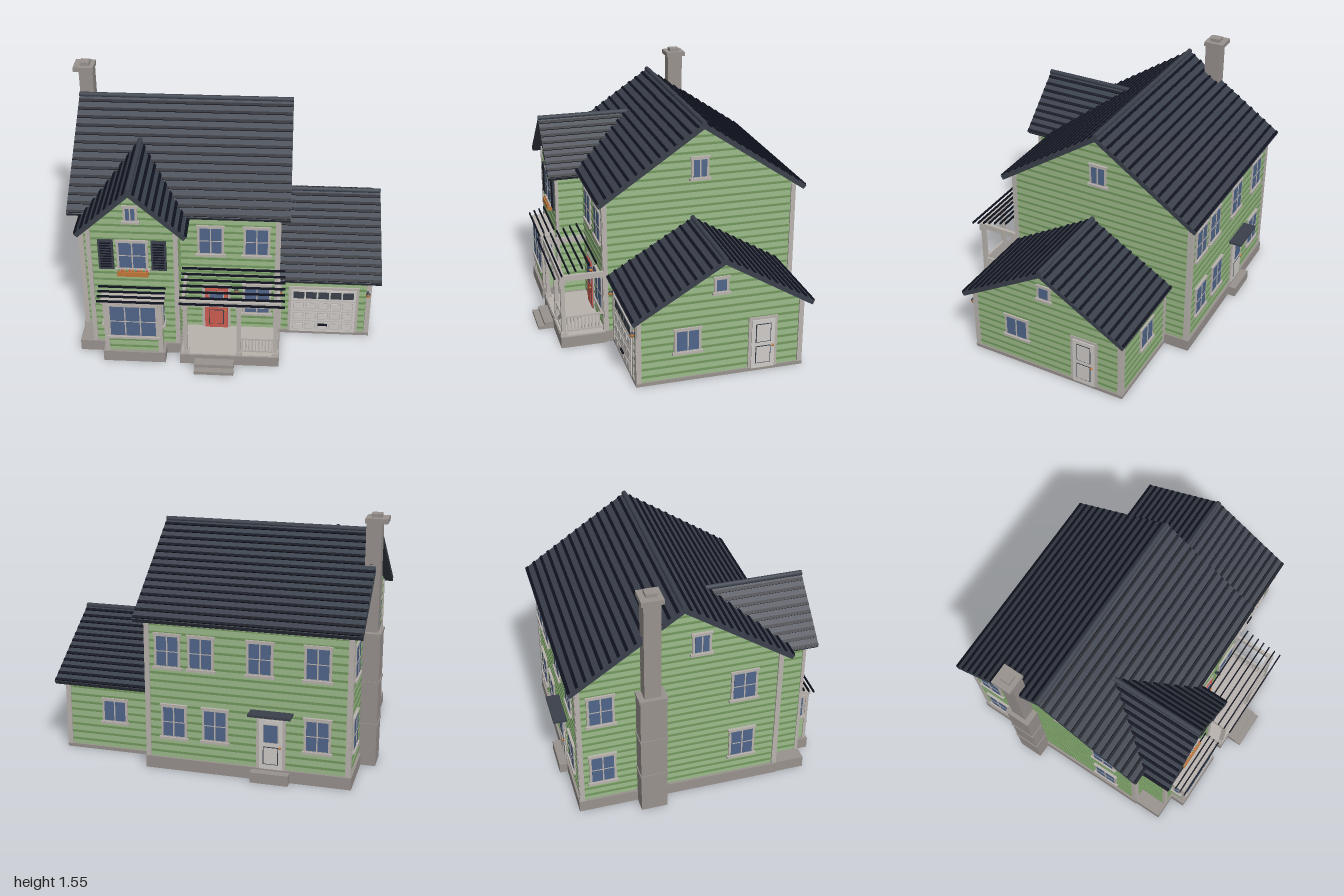
import * as THREE from 'three';

const mat = (name, color) => {
  const m = new THREE.MeshStandardMaterial({ color });
  m.name = name;
  return m;
};
const siding = mat('green siding', 0x9cba8a);
const lap = mat('siding shadow green', 0x73985f);
const trim = mat('trim grey', 0xb9b3ae);
const stone = mat('stone grey', 0x98928e);
const white = mat('door white', 0xcfcbc8);
const glass = mat('glass blue', 0x50668a);
const red = mat('door red', 0xcc5c50);
const copper = mat('copper orange', 0xbf7838);
const slate = mat('roof slate', 0x3a404b);
const dark = mat('shingle edge', 0x10131f);

function add(parent, name, geo, material, x = 0, y = 0, z = 0) {
  const m = new THREE.Mesh(geo, material);
  m.name = name;
  m.position.set(x, y, z);
  parent.add(m);
  return m;
}
// box given by its limits on each axis
const span = (p, name, m, x0, x1, y0, y1, z0, z1) =>
  add(p, name, new THREE.BoxGeometry(x1 - x0, y1 - y0, z1 - z0), m, (x0 + x1) / 2, (y0 + y1) / 2, (z0 + z1) / 2);

// group whose local z points out of a wall
function face(parent, name, x, z, turn) {
  const g = new THREE.Group();
  g.name = name;
  g.position.set(x, 0, z);
  g.rotation.y = turn * Math.PI / 2;
  parent.add(g);
  return g;
}

// pentagonal gabled body, gable facing local z
function gabledBody(p, name, c, half, eave, peak, z0, z1) {
  const s = new THREE.Shape();
  s.moveTo(c - half, 0.02);
  s.lineTo(c + half, 0.02);
  s.lineTo(c + half, eave);
  s.lineTo(c, peak);
  s.lineTo(c - half, eave);
  const geo = new THREE.ExtrudeGeometry(s, { depth: z1 - z0, bevelEnabled: false });
  add(p, name, geo, siding, 0, 0, z0);
}

// thin lap boards on a wall, narrowing above the eave when there is a gable
function boards(f, c, half, y0, eave, peak = eave) {
  for (let y = y0 + 0.03; y < peak - 0.02; y += 0.05) {
    const h = y + 0.014 <= eave ? half : half * (peak - y - 0.014) / (peak - eave);
    if (h > 0.01) span(f, 'lapBoard', lap, c - h, c + h, y, y + 0.014, -0.002, 0.005);
  }
}

function corners(f, c, half, y0, y1) {
  for (const s of [-1, 1])
    add(f, 'cornerTrim', new THREE.BoxGeometry(0.028, y1 - y0, 0.02), trim, c + s * (half - 0.008), (y0 + y1) / 2, 0);
}

// casing, glass, glazing bars and sill
function win(f, u, y, w, h, cols = 2, rows = 2) {
  const g = new THREE.Group();
  g.name = 'window';
  g.position.set(u, y, 0);
  f.add(g);
  const iw = w - 0.03, ih = h - 0.03;
  span(g, 'casing', trim, -w / 2, w / 2, -h / 2, h / 2, -0.002, 0.012);
  span(g, 'pane', glass, -iw / 2, iw / 2, -ih / 2, ih / 2, 0.012, 0.014);
  for (let i = 1; i < cols; i++) add(g, 'bar', new THREE.BoxGeometry(0.008, ih, 0.006), trim, -iw / 2 + iw * i / cols, 0, 0.014);
  for (let i = 1; i < rows; i++) add(g, 'bar', new THREE.BoxGeometry(iw, 0.005, 0.005), trim, 0, -ih / 2 + ih * i / rows, 0.014);
  span(g, 'sill', trim, -w / 2 - 0.01, w / 2 + 0.01, -h / 2 - 0.008, -h / 2 + 0.008, 0, 0.022);
  span(g, 'head', trim, -w / 2 - 0.006, w / 2 + 0.006, h / 2 - 0.006, h / 2 + 0.006, 0, 0.016);
}

function door(f, u, y0, w, h, m, glazed) {
  span(f, 'doorFrame', trim, u - w / 2 - 0.018, u + w / 2 + 0.018, y0, y0 + h + 0.02, -0.002, 0.01);
  span(f, 'door', m, u - w / 2, u + w / 2, y0, y0 + h, 0.01, 0.016);
  for (const [a, b] of [[0.1, 0.46], [0.54, 0.92]]) {
    const pane = glazed && a > 0.5;
    span(f, 'panelGroove', pane ? trim : slate, u - w * 0.33, u + w * 0.33, y0 + h * a, y0 + h * b, 0.016, 0.018);
    span(f, 'panel', pane ? glass : m, u - w * 0.33 + 0.005, u + w * 0.33 - 0.005, y0 + h * a + 0.005, y0 + h * b - 0.005, 0.017, 0.021);
  }
  add(f, 'knob', new THREE.SphereGeometry(0.008, 10, 8), copper, u + w * 0.4, y0 + h * 0.46, 0.024);
}

// two shingled slopes with the ridge along local z
function gableRoof(p, name, c, ridge, run, drop, z0, z1, rows, t = 0.03) {
  const len = Math.hypot(run, drop), depth = z1 - z0, mid = (z0 + z1) / 2;
  for (const s of [-1, 1]) {
    const slope = new THREE.Group();
    slope.name = name;
    slope.position.set(c, ridge, mid);
    slope.rotation.z = -s * Math.atan2(drop, run);
    p.add(slope);
    add(slope, 'roofSlab', new THREE.BoxGeometry(len, t, depth), slate, s * len / 2, -t / 2);
    for (let i = 0; i < rows; i++)
      add(slope, 'shingleEdge', new THREE.BoxGeometry(0.018, 0.009, depth - 0.004), dark, s * len * (i + 0.75) / rows, 0.0025);
  }
  const cap = add(p, 'ridgeCap', new THREE.CylinderGeometry(0.016, 0.016, depth, 10), slate, c, ridge, mid);
  cap.rotation.x = Math.PI / 2;
}

function lamp(p, x, y, z) {
  span(p, 'lampBracket', slate, x - 0.006, x + 0.006, y - 0.015, y + 0.02, z - 0.03, z - 0.015);
  add(p, 'lamp', new THREE.SphereGeometry(0.014, 12, 8), copper, x, y, z);
  add(p, 'lampCap', new THREE.ConeGeometry(0.014, 0.014, 10), slate, x, y + 0.016, z);
}

// open sloping rows of shingle edges
function shingleRows(p, name, x0, x1, y0, y1, z0, z1, n) {
  for (let i = 0; i < n; i++) {
    const k = i / (n - 1), y = y0 + (y1 - y0) * k, z = z0 + (z1 - z0) * k;
    span(p, name, dark, x0, x1, y - 0.0065, y + 0.0065, z - 0.004, z + 0.004);
  }
}

export function createModel() {
  const house = new THREE.Group();
  house.name = 'house';

  // Main body, ridge along x
  const main = face(house, 'mainBody', 0, 0, 1);
  gabledBody(main, 'mainWalls', 0.15, 0.62, 0.952, 1.374, -0.88, 0.35);
  gableRoof(main, 'mainRoof', 0.15, 1.41, 0.675, 0.46, -0.94, 0.415, 14);
  span(house, 'foundation', stone, -0.895, 0.36, 0, 0.075, -0.785, 0.48);
  const front = face(house, 'mainFront', 0, 0.47, 0);
  const back = face(house, 'mainBack', 0, -0.77, 2);
  const right = face(house, 'mainLeftSide', 0.35, 0, 1);
  const left = face(house, 'mainRightSide', -0.88, 0, -1);
  for (const [f, c, half, peak] of [[front, -0.265, 0.615, 0.94], [back, 0.265, 0.615, 0.94], [right, 0.15, 0.62, 1.374], [left, -0.15, 0.62, 1.374]]) {
    boards(f, c, half, 0.075, peak > 1 ? 0.952 : 0.94, peak);
    corners(f, c, half, 0.075, 0.945);
  }
  span(front, 'frieze', trim, -0.88, 0.35, 0.915, 0.945, 0, 0.012);
  span(back, 'frieze', trim, -0.35, 0.88, 0.915, 0.945, 0, 0.012);
  win(front, -0.07, 0.753, 0.165, 0.21);
  win(front, 0.213, 0.753, 0.165, 0.21);
  win(front, 0.22, 0.31, 0.18, 0.23);
  door(front, -0.037, 0.075, 0.145, 0.32, red, true);
  win(right, 0.143, 1.11, 0.115, 0.14, 2, 1);
  win(left, -0.03, 1.11, 0.115, 0.14, 2, 1);
  for (const u of [-0.63, 0.24]) for (const y of [0.31, 0.753]) win(left, u, y, 0.165, 0.21);
  for (const u of [-0.215, -0.01, 0.345, 0.685]) win(back, u, 0.753, 0.16, 0.21);
  for (const u of [-0.18, 0.075, 0.69]) win(back, u, 0.31, 0.16, 0.21);

  // Back door with canopy and step
  door(back, 0.415, 0.075, 0.14, 0.31, white, true);
  span(back, 'canopy', slate, 0.29, 0.545, 0.422, 0.437, 0, 0.085);
  span(back, 'backStep', stone, 0.3, 0.53, 0, 0.065, 0, 0.065);

  // Front gable wing
  gabledBody(house, 'wingWalls', -0.53, 0.27, 0.94, 1.19, 0.4, 0.645);
  gableRoof(house, 'wingRoof', -0.53, 1.235, 0.335, 0.31, 0.1, 0.705, 9);
  span(house, 'wingFoundation', stone, -0.89, -0.25, 0, 0.075, 0.4, 0.66);
  const wing = face(house, 'wingFront', 0, 0.645, 0);
  boards(wing, -0.53, 0.27, 0.075, 0.94, 1.19);
  corners(wing, -0.53, 0.27, 0.075, 0.95);
  for (const [x, turn] of [[-0.8, -1], [-0.26, 1]])
    boards(face(house, 'wingSide', x, 0.557, turn), 0, 0.087, 0.075, 0.93);
  win(wing, -0.53, 1.045, 0.085, 0.11, 2, 1);
  win(wing, -0.53, 0.75, 0.19, 0.21);
  for (const u of [-0.69, -0.37]) {
    span(wing, 'shutter', slate, u - 0.046, u + 0.046, 0.645, 0.86, 0, 0.014);
    for (let i = 0; i < 10; i++) span(wing, 'louvre', dark, u - 0.034, u + 0.034, 0.662 + i * 0.019, 0.67 + i * 0.019, 0.012, 0.017);
  }
  span(wing, 'planter', copper, -0.625, -0.435, 0.607, 0.64, 0, 0.035);
  for (let i = 0; i < 11; i++)
    add(wing, 'flower', new THREE.SphereGeometry(0.009, 8, 6), [lap, red, copper][i % 3], -0.615 + i * 0.017, 0.645, 0.02);

  // Bay window
  span(house, 'bayBase', stone, -0.73, -0.34, 0, 0.075, 0.64, 0.755);
  span(house, 'bayBox', siding, -0.71, -0.36, 0.075, 0.465, 0.64, 0.735);
  const bay = face(house, 'bayFront', 0, 0.735, 0);
  boards(bay, -0.535, 0.175, 0.075, 0.2);
  corners(bay, -0.535, 0.175, 0.075, 0.46);
  win(bay, -0.535, 0.315, 0.31, 0.25, 3, 2);
  for (const [x, turn] of [[-0.71, -1], [-0.36, 1]]) win(face(house, 'baySide', x, 0.69, turn), 0, 0.345, 0.06, 0.17, 1, 2);
  span(house, 'bayCornice', trim, -0.73, -0.34, 0.445, 0.467, 0.64, 0.748);
  shingleRows(house, 'bayShingles', -0.75, -0.335, 0.512, 0.475, 0.66, 0.76, 4);

  // Porch
  span(house, 'porchBase', stone, -0.25, 0.37, 0, 0.07, 0.47, 0.755);
  span(house, 'porchFloor', trim, -0.24, 0.36, 0.07, 0.078, 0.47, 0.75);
  span(house, 'upperStep', stone, -0.155, 0.09, 0, 0.045, 0.75, 0.815);
  span(house, 'lowerStep', stone, -0.155, 0.09, 0, 0.022, 0.75, 0.855);
  span(house, 'porchBeam', trim, -0.24, 0.37, 0.455, 0.492, 0.72, 0.752);
  for (const x of [-0.235, 0.345]) span(house, 'sideBeam', trim, x, x + 0.02, 0.455, 0.492, 0.47, 0.73);
  for (const x of [-0.213, 0.118, 0.345]) {
    span(house, 'post', trim, x - 0.013, x + 0.013, 0.075, 0.46, 0.722, 0.748);
    for (const y of [0.078, 0.43]) span(house, 'postCollar', trim, x - 0.02, x + 0.02, y, y + 0.025, 0.715, 0.755);
  }
  for (const y of [0.1, 0.195]) {
    span(house, 'frontRail', trim, 0.12, 0.345, y, y + 0.012, 0.728, 0.742);
    span(house, 'sideRail', trim, 0.338, 0.352, y, y + 0.012, 0.48, 0.735);
  }
  for (let i = 1; i < 11; i++) {
    span(house, 'baluster', trim, 0.12 + i * 0.0205 - 0.004, 0.12 + i * 0.0205 + 0.004, 0.1, 0.2, 0.731, 0.739);
    span(house, 'baluster', trim, 0.341, 0.349, 0.1, 0.2, 0.484 + i * 0.0225 - 0.004, 0.484 + i * 0.0225 + 0.004);
  }
  shingleRows(house, 'porchShingles', -0.245, 0.395, 0.572, 0.497, 0.525, 0.786, 7);
  lamp(house, 0.09, 0.385, 0.5);

  // Garage
  const garage = face(house, 'garage', 0, 0, 1);
  gabledBody(garage, 'garageWalls', 0.1, 0.51, 0.445, 0.75, 0.34, 0.935);
  gableRoof(garage, 'garageRoof', 0.1, 0.785, 0.56, 0.335, 0.35, 1.0, 12, 0.028);
  span(house, 'garageSlab', stone, 0.34, 0.945, 0, 0.022, -0.62, 0.42);
  const gFront = face(house, 'garageFront', 0, 0.41, 0);
  const gBack = face(house, 'garageBack', 0, -0.61, 2);
  const gSide = face(house, 'garageSide', 0.935, 0, 1);
  boards(gFront, 0.645, 0.29, 0.02, 0.44);
  boards(gBack, -0.645, 0.29, 0.02, 0.44);
  boards(gSide, 0.1, 0.51, 0.02, 0.445, 0.75);
  corners(gFront, 0.645, 0.29, 0.02, 0.44);
  corners(gBack, -0.645, 0.29, 0.02, 0.44);
  corners(gSide, 0.1, 0.51, 0.02, 0.44);
  win(gSide, 0.095, 0.6, 0.09, 0.1, 1, 1);
  win(gSide, -0.107, 0.268, 0.165, 0.155, 2, 1);
  door(gSide, 0.362, 0.02, 0.145, 0.32, white, false);
  win(gBack, -0.62, 0.27, 0.165, 0.155, 2, 1);
  span(gFront, 'garageDoorFrame', trim, 0.42, 0.868, 0.02, 0.375, 0, 0.01);
  span(gFront, 'garageDoor', white, 0.437, 0.85, 0.022, 0.355, 0.008, 0.016);
  for (let r = 0; r < 4; r++) {
    const y = 0.035 + r * 0.083;
    if (r) span(gFront, 'doorSeam', trim, 0.437, 0.85, y - 0.011, y - 0.007, 0.015, 0.018);
    for (let i = 0; i < 5; i++) {
      const x = 0.452 + i * 0.0785;
      span(gFront, r === 3 ? 'doorPane' : 'panelGroove', r === 3 ? slate : trim, x, x + 0.068, y + 0.007, y + 0.058, 0.015, 0.018);
      if (r < 3) span(gFront, 'doorPanel', white, x + 0.005, x + 0.063, y + 0.012, y + 0.053, 0.016, 0.021);
    }
  }
  span(gFront, 'garageHandle', dark, 0.615, 0.675, 0.078, 0.09, 0.016, 0.028);
  for (const x of [0.368, 0.922]) lamp(house, x, 0.34, 0.436);

  // Chimney
  span(house, 'chimneyStack', stone, -0.965, -0.875, 0, 1.5, -0.39, -0.29);
  span(house, 'chimneyBase', stone, -0.985, -0.87, 0, 0.83, -0.42, -0.26);
  for (const y of [0.26, 0.53, 0.83]) span(house, 'chimneyBand', stone, -0.99, -0.87, y, y + 0.015, -0.425, -0.255);
  span(house, 'chimneyCap', stone, -1.0, -0.87, 1.5, 1.53, -0.41, -0.28);
  span(house, 'chimneyPot', stone, -0.96, -0.9, 1.53, 1.552, -0.375, -0.31);
  return house;
}
